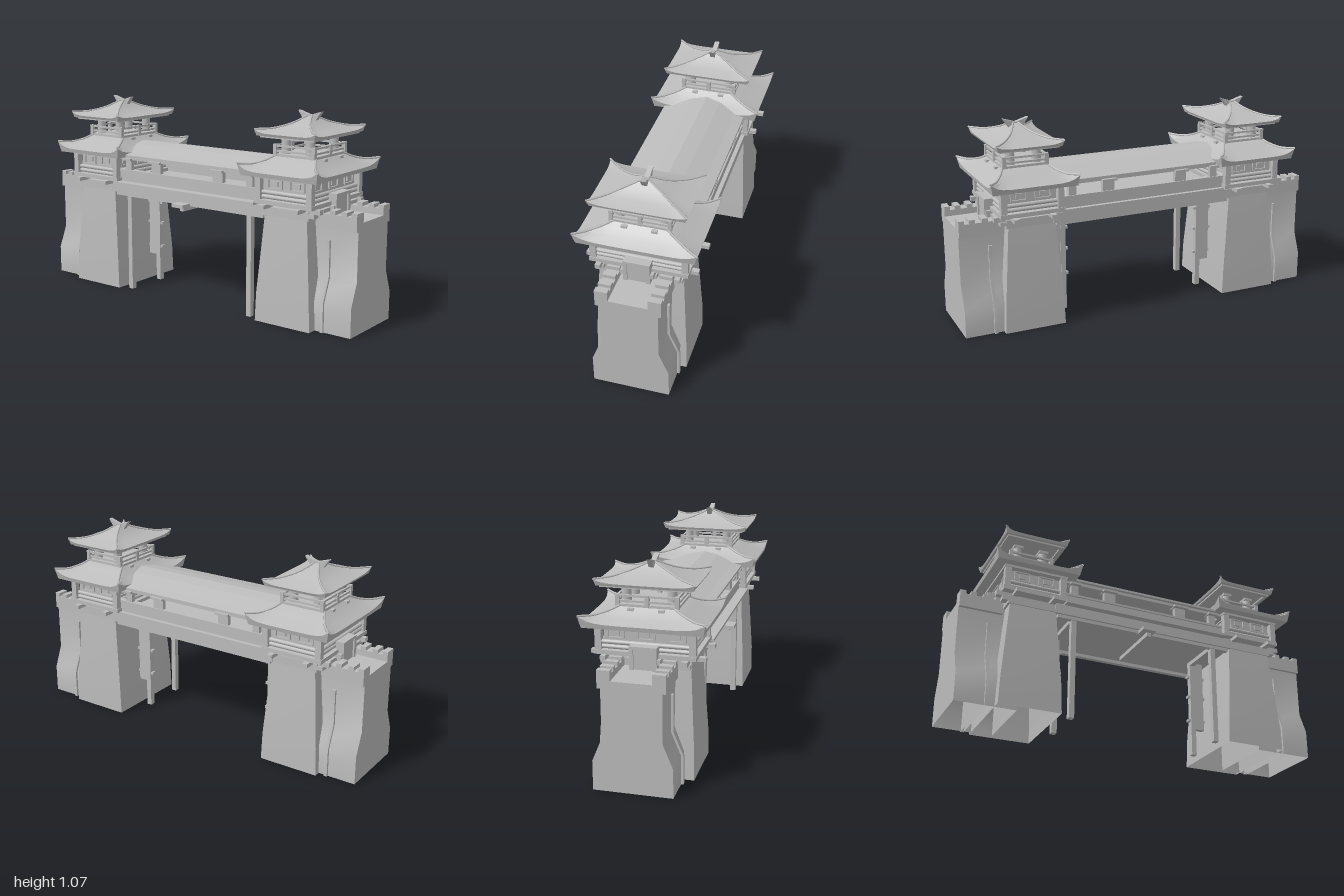
import * as THREE from 'three';
import { mergeVertices, toCreasedNormals } from 'three/addons/utils/BufferGeometryUtils.js';

const stone = new THREE.MeshStandardMaterial({ color: 0xbcbcbc, side: THREE.DoubleSide });
stone.name = 'light grey stone';

function add(parent, name, geometry) {
  const mesh = new THREE.Mesh(geometry, stone);
  mesh.name = name;
  parent.add(mesh);
  return mesh;
}

// Box given by its minimum and maximum on each axis
function box(parent, name, x0, x1, y0, y1, z0, z1) {
  const mesh = add(parent, name, new THREE.BoxGeometry(x1 - x0, y1 - y0, z1 - z0));
  mesh.position.set((x0 + x1) / 2, (y0 + y1) / 2, (z0 + z1) / 2);
  return mesh;
}

// The same box on both sides of x = 0
function pair(parent, name, x0, x1, y0, y1, z0, z1) {
  box(parent, name, x0, x1, y0, y1, z0, z1);
  box(parent, name, -x1, -x0, y0, y1, z0, z1);
}

// Rectangular rings [halfWidth, halfDepth, y, cornerLift], joined from bottom to top
function loft(rings, perSide, openBottom) {
  const corners = [[1, 1], [1, -1], [-1, -1], [-1, 1]];
  const n = perSide * 4, pos = [], idx = [];
  for (const [w, d, y, lift = 0] of rings) {
    for (let s = 0; s < 4; s++) {
      const [a, b] = [corners[s], corners[(s + 1) % 4]];
      for (let i = 0; i < perSide; i++) {
        const t = i / perSide, k = Math.pow(Math.abs(2 * t - 1), 7);
        pos.push((a[0] + (b[0] - a[0]) * t) * (w + lift * k * 0.2), y + lift * k,
          (a[1] + (b[1] - a[1]) * t) * (d + lift * k * 0.2));
      }
    }
  }
  for (let r = 0; r < rings.length - 1; r++) {
    for (let i = 0; i < n; i++) {
      const j = (i + 1) % n, a = r * n, b = a + n;
      idx.push(a + i, a + j, b + j, a + i, b + j, b + i);
    }
  }
  const last = (rings.length - 1) * n, centre = pos.length / 3;
  pos.push(0, rings[0][2], 0, 0, rings[rings.length - 1][2], 0);
  for (let i = 0; i < n; i++) {
    const j = (i + 1) % n;
    if (!openBottom) idx.push(centre, j, i);
    idx.push(centre + 1, last + i, last + j);
  }
  const g = new THREE.BufferGeometry();
  g.setAttribute('position', new THREE.Float32BufferAttribute(pos, 3));
  g.setIndex(idx);
  return toCreasedNormals(mergeVertices(g), 0.45);
}

// Curved hip roof with upturned corners and a rounded rib on each hip
function hipRoof(parent, name, rings, ribRadius) {
  add(parent, name, loft(rings, 16, false));
  for (const sx of [-1, 1]) for (const sz of [-1, 1]) {
    const points = rings.slice(1).map(([w, d, y, lift = 0]) =>
      new THREE.Vector3(sx * (w + lift * 0.2), y + lift + 0.003, sz * (d + lift * 0.2)));
    add(parent, name + 'Rib', new THREE.TubeGeometry(new THREE.CatmullRomCurve3(points), 16, ribRadius, 6));
  }
}

// Profile in x and y, extruded along z
function extrudeZ(points, z0, z1) {
  const shape = new THREE.Shape(points.map(([x, y]) => new THREE.Vector2(x, y)));
  return new THREE.ExtrudeGeometry(shape, { depth: z1 - z0, bevelEnabled: false }).translate(0, 0, z0);
}

// Wall with a spreading foot, open below
function footedWall(grow, top, z0, z1) {
  const d = (z1 - z0) / 2;
  const rings = [[0.197, 0], [0.197, 0.15], [0.148, 0.27], [0.148, top]].map(([w, y]) => [w + grow, d, y]);
  return loft(rings, 1, true).translate(0, 0, (z0 + z1) / 2);
}

// Framed window facing +z
function windowPanel(parent, x, z, turn) {
  const g = new THREE.Group(), w = 0.08, h = 0.05;
  g.name = 'window';
  for (const s of [-1, 1]) {
    box(g, 'windowJamb', s * w / 2 - 0.004, s * w / 2 + 0.004, -h / 2, h / 2, 0, 0.008);
    box(g, 'windowRail', -w / 2, w / 2, s * h / 2 - 0.004, s * h / 2 + 0.004, 0, 0.008);
  }
  box(g, 'windowPane', -w * 0.22, w * 0.22, -h * 0.25, h * 0.25, 0, 0.007);
  g.position.set(x, 0.718, z);
  g.rotation.y = turn;
  parent.add(g);
}

// Tower on its own axis, wall stub toward +z; side is the direction of the model's left
function createTower(side) {
  const t = new THREE.Group();
  t.name = 'tower';
  add(t, 'towerBase', loft([[0.24, 0.163, 0], [0.238, 0.157, 0.15], [0.215, 0.122, 0.58]], 1, true));

  // Wall stub with side strips and notched parapets, slightly off axis
  const wall = new THREE.Group();
  wall.name = 'wall';
  wall.position.x = side * 0.009;
  t.add(wall);
  add(wall, 'wallStub', footedWall(0, 0.56, 0.05, 0.365));
  add(wall, 'wallStrip', footedWall(0.012, 0.46, 0.198, 0.215));
  pair(wall, 'parapet', 0.1, 0.165, 0.52, 0.592, 0.14, 0.365);
  for (const z of [0.15, 0.215, 0.28, 0.335]) pair(wall, 'merlon', 0.1, 0.165, 0.592, 0.611, z, z + 0.03);

  // Crossing bracket beams below the house
  box(t, 'bracketBlock', -0.222, 0.222, 0.555, 0.6, -0.135, 0.135);
  for (const s of [-1, 1]) {
    box(t, 'crossBeam', -0.285, 0.285, 0.597, 0.617, s * 0.1 - 0.014, s * 0.1 + 0.014);
    for (const x of [-0.2, -0.07, 0.07, 0.2]) {
      box(t, 'longBeam', x - 0.013, x + 0.013, 0.592, 0.617, s > 0 ? 0.1 : -0.195, s > 0 ? 0.195 : -0.1);
      box(t, 'bracketEnd', x - 0.02, x + 0.02, 0.57, 0.592, s > 0 ? 0.13 : -0.165, s > 0 ? 0.165 : -0.13);
    }
  }

  // House with log bands, corner posts and windows
  box(t, 'houseFloor', -0.25, 0.25, 0.615, 0.637, -0.17, 0.17);
  box(t, 'houseWall', -0.212, 0.212, 0.637, 0.757, -0.135, 0.135);
  box(t, 'houseTopBeam', -0.25, 0.25, 0.745, 0.76, -0.17, 0.17);
  for (const s of [-1, 1]) {
    for (const y of [0.65, 0.673]) {
      const front = add(t, 'frontLog', new THREE.CylinderGeometry(0.011, 0.011, 0.45, 10).rotateZ(Math.PI / 2));
      front.position.set(0, y, s * 0.145);
      const flank = add(t, 'sideLog', new THREE.CylinderGeometry(0.011, 0.011, 0.3, 10).rotateX(Math.PI / 2));
      flank.position.set(s * 0.222, y, 0);
    }
    pair(t, 'cornerPost', 0.215, 0.247, 0.637, 0.745, s * 0.15 - 0.016, s * 0.15 + 0.016);
    for (const x of [-0.15, 0, 0.15]) windowPanel(t, x, s * 0.135, s > 0 ? 0 : Math.PI);
    for (const z of [-0.065, 0.065]) windowPanel(t, s * 0.212, z, s * Math.PI / 2);
  }

  // Framed door above the wall walk
  box(t, 'door', -0.055, 0.055, 0.56, 0.67, 0.13, 0.192);
  pair(t, 'doorJamb', 0.048, 0.068, 0.56, 0.67, 0.13, 0.2);
  box(t, 'doorLintel', -0.068, 0.068, 0.662, 0.676, 0.13, 0.2);

  // Lower roof
  hipRoof(t, 'lowerRoof', [[0.294, 0.22, 0.757], [0.3, 0.225, 0.779, 0.034], [0.245, 0.183, 0.799, 0.01],
    [0.185, 0.145, 0.823], [0.13, 0.115, 0.848]], 0.006);

  // Open belvedere with railing
  box(t, 'belvedereFloor', -0.152, 0.152, 0.845, 0.857, -0.12, 0.12);
  for (const s of [-1, 1]) {
    for (const y of [0.866, 0.892]) {
      box(t, 'frontRail', -0.15, 0.15, y, y + 0.01, s * 0.112 - 0.005, s * 0.112 + 0.005);
      box(t, 'sideRail', s * 0.145 - 0.005, s * 0.145 + 0.005, y, y + 0.01, -0.112, 0.112);
    }
    for (const x of [-0.145, 0, 0.145]) box(t, 'railPost', x - 0.01, x + 0.01, 0.845, 0.905, s * 0.112 - 0.01, s * 0.112 + 0.01);
    pair(t, 'ridgeBlock', 0.06, 0.09, 0.83, 0.843, s * 0.128 - 0.012, s * 0.128 + 0.012);
    for (const x of [-0.112, 0.112]) {
      const c = add(t, 'column', new THREE.CylinderGeometry(0.024, 0.024, 0.1, 12));
      c.position.set(x, 0.9, s * 0.07);
    }
    pair(t, 'upperBracket', 0.08, 0.14, 0.936, 0.95, s * 0.07 - 0.025, s * 0.07 + 0.025);
    box(t, 'rafterBeam', -0.22, 0.22, 0.943, 0.955, s * 0.145 - 0.01, s * 0.145 + 0.01);
    box(t, 'rafterBeam', s * 0.21 - 0.01, s * 0.21 + 0.01, 0.943, 0.955, -0.155, 0.155);
  }

  // Upper roof and forked finial
  hipRoof(t, 'upperRoof', [[0.234, 0.167, 0.952], [0.24, 0.172, 0.964, 0.018], [0.17, 0.112, 0.979, 0.005],
    [0.09, 0.052, 1.006], [0.012, 0.012, 1.04]], 0.005);
  const fork = extrudeZ([[-0.032, 1.015], [0.032, 1.015], [0.068, 1.066], [0, 1.045], [-0.068, 1.066]], -0.013, 0.013);
  add(t, 'finial', fork.rotateY(Math.PI / 2));

  // Posts below the bridge, one of them a ladder
  for (const x of [-0.195, 0.045]) box(t, 'bridgePost', side * x - 0.015, side * x + 0.015, 0, 0.55, -0.24, -0.212);
  const mid = side * -0.075, lx = side * 0.045;
  box(t, 'postBeam', mid - 0.135, mid + 0.135, 0.53, 0.555, -0.24, -0.212);
  box(t, 'ladderBoard', lx - 0.012, lx + 0.012, 0.15, 0.55, -0.212, -0.16);
  for (const y of [0.2, 0.34, 0.46]) box(t, 'ladderRung', lx - 0.011, lx + 0.011, y - 0.007, y + 0.007, -0.255, -0.15);
  return t;
}

function createBridge() {
  const b = new THREE.Group();
  b.name = 'coveredBridge';
  box(b, 'deck', -0.225, 0.225, 0.553, 0.605, -0.52, 0.52);
  box(b, 'deckLedge', -0.262, 0.232, 0.605, 0.618, -0.47, 0.47);
  pair(b, 'edgeBeam', 0.19, 0.215, 0.535, 0.555, -0.5, 0.5);
  box(b, 'crossBar', -0.25, 0.1, 0.51, 0.532, -0.012, 0.012);
  box(b, 'crossBarEnd', -0.28, -0.19, 0.532, 0.55, -0.045, 0.03);

  // Low side walls, posts and roof beams
  pair(b, 'sideWall', 0.19, 0.21, 0.615, 0.678, -0.5, 0.5);
  pair(b, 'handRail', 0.183, 0.218, 0.673, 0.684, -0.5, 0.5);
  for (const z of [-0.41, -0.21, 0.21, 0.41]) {
    const half = Math.abs(z) > 0.3 ? 0.02 : 0.032;
    pair(b, 'galleryPost', 0.188, 0.212, 0.68, 0.75, z - half, z + half);
    pair(b, 'postCap', 0.18, 0.232, 0.738, 0.75, z - half - 0.008, z + half + 0.008);
  }
  pair(b, 'roofBeam', 0.185, 0.215, 0.742, 0.772, -0.48, 0.48);

  // Shallow roof with a rounded top
  const right = [[0.232, 0.758], [0.232, 0.77], [0.18, 0.782], [0.08, 0.81]];
  const left = right.map(([x, y]) => [-x, y]).reverse();
  add(b, 'bridgeRoof', extrudeZ([...right, [0, 0.822], ...left], -0.5, 0.5));
  return b;
}

export function createModel() {
  const model = new THREE.Group();
  model.name = 'gateBridge';
  const front = createTower(1);
  front.position.z = 0.635;
  const back = createTower(-1);
  back.position.z = -0.635;
  back.rotation.y = Math.PI;
  model.add(front, back, createBridge());
  return model;
}
